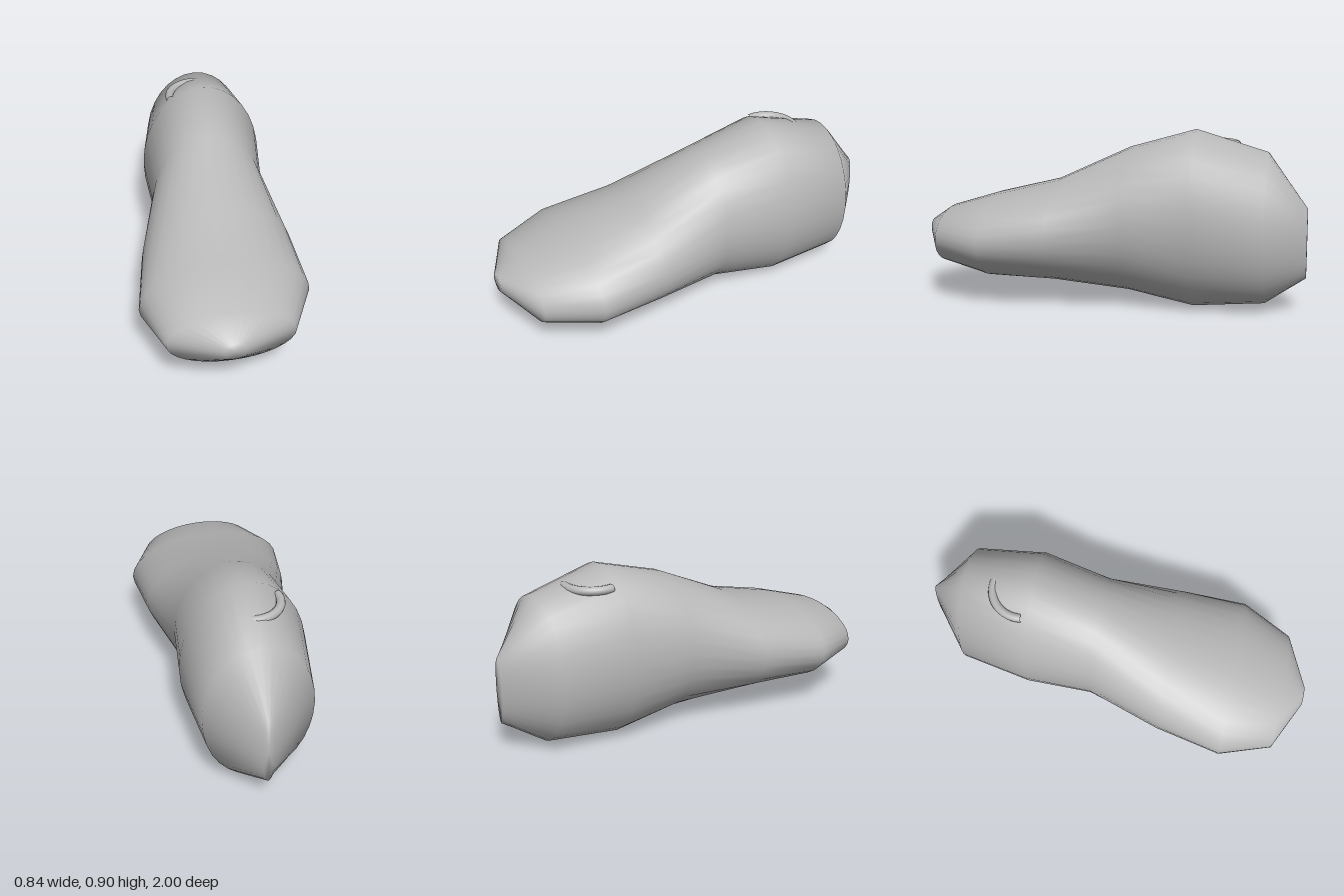
import * as THREE from 'three';

const SIDES = 32;

// Body cross-sections from front to back: z, centre x, centre y, radius x, radius y
const SECTIONS = [
  [1.0, -0.03, 0.335, 0.05, 0.045],
  [0.88, -0.02, 0.315, 0.31, 0.145],
  [0.62, 0.0, 0.325, 0.42, 0.215],
  [0.28, 0.025, 0.363, 0.38, 0.263],
  [-0.1, 0.053, 0.432, 0.293, 0.37],
  [-0.44, 0.08, 0.45, 0.32, 0.45],
  [-0.8, 0.107, 0.415, 0.273, 0.38],
  [-1.0, 0.12, 0.345, 0.03, 0.175],
];

// Joins the elliptical sections into one smooth closed skin
function loftGeometry(sections) {
  const positions = [];
  const indices = [];
  for (const [z, cx, cy, rx, ry] of sections) {
    for (let j = 0; j < SIDES; j++) {
      const a = (j / SIDES) * Math.PI * 2;
      positions.push(cx + rx * Math.cos(a), cy + ry * Math.sin(a), z);
    }
  }
  const last = (sections.length - 1) * SIDES;
  const frontCentre = positions.length / 3;
  for (const [z, cx, cy] of [sections[0], sections[sections.length - 1]]) positions.push(cx, cy, z);
  for (let j = 0; j < SIDES; j++) {
    const k = (j + 1) % SIDES;
    for (let i = 0; i < last; i += SIDES) {
      indices.push(i + j, i + SIDES + j, i + k, i + SIDES + j, i + SIDES + k, i + k);
    }
    indices.push(frontCentre, j, k, frontCentre + 1, last + k, last + j);
  }
  const geometry = new THREE.BufferGeometry();
  geometry.setAttribute('position', new THREE.Float32BufferAttribute(positions, 3));
  geometry.setIndex(indices);
  geometry.computeVertexNormals();
  return geometry;
}

export function createModel() {
  const group = new THREE.Group();
  const grey = new THREE.MeshStandardMaterial({ color: 0xb8b8b8 });
  grey.name = 'grey';

  // Lopsided body, wide at the front and tall at the back
  const body = new THREE.Mesh(loftGeometry(SECTIONS), grey);
  body.name = 'body';
  group.add(body);

  // Curved ridge half sunk into the upper back, its ends vanishing into the skin
  const ridgeGeometry = new THREE.TorusGeometry(0.15, 0.022, 12, 24, Math.PI * 0.6);
  ridgeGeometry.rotateZ(Math.PI * 0.45);
  ridgeGeometry.rotateX(-Math.PI / 2);
  const ridge = new THREE.Mesh(ridgeGeometry, grey);
  ridge.name = 'ridge';
  ridge.position.set(0.07, 0.823, -0.49);
  group.add(ridge);

  return group;
}
